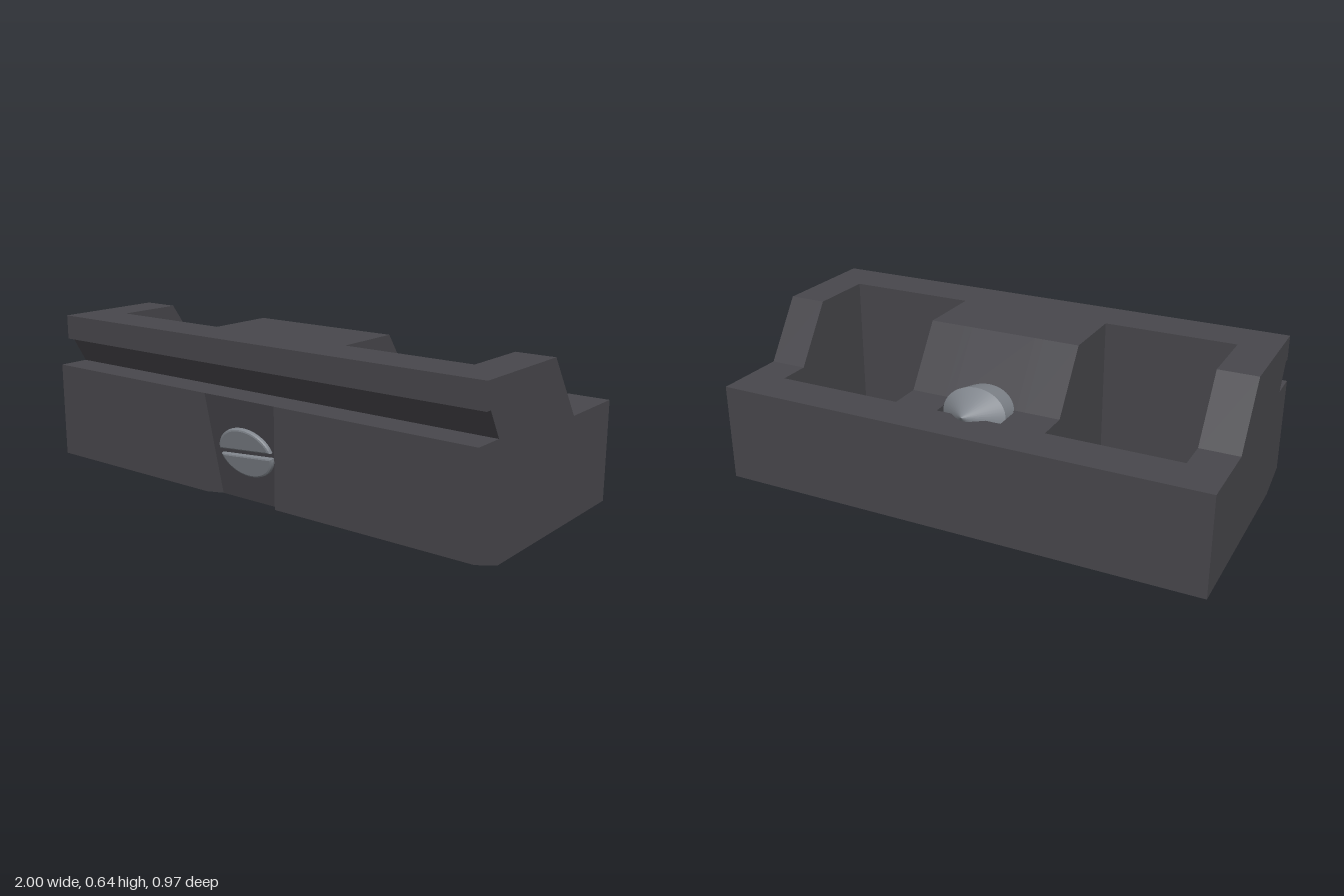
import * as THREE from 'three';

// Profiles are [z, y] points, counter-clockwise
const front = [[0.485, 0.05]];
const rail = [[0.485, 0.435], [0.36, 0.435], [0.42, 0.54], [0.445, 0.54], [0.445, 0.638]];
const ramp = [[-0.015, 0.638], [-0.18, 0.4]];
const rear = [[-0.485, 0.4], [-0.485, 0], [0.335, 0]];
const pocketFloor = [[0.26, 0.638], [0.26, 0.05], [-0.31, 0.05], [-0.31, 0.4]];
const notch = [[-0.19, 0.4], [-0.235, 0.2], [-0.31, 0.4]];
const recessFoot = [[0.395, 0.02]];

const full = [...front, ...rail, ...ramp, ...rear];
const pocketed = [...front, ...rail, ...pocketFloor, ...rear];
const recessed = [...recessFoot, ...rail, ...ramp, ...rear];
const notched = [...recessFoot, ...rail, ...ramp, ...notch, ...rear];

// Cut-out side walls
const pocketWall = [[0.26, 0.05], [0.26, 0.638], ...ramp, [-0.31, 0.4], [-0.31, 0.05]];
const recessWall = [[0.485, 0.05], [0.485, 0.435], [0.395, 0.02]];
const notchWall = [[-0.19, 0.4], [-0.31, 0.4], [-0.235, 0.2]];

function buildBody(material) {
  const pos = [];
  const put = (x, p) => pos.push(x, p[1], p[0]);

  // Sides of a prism running from x0 to x1
  const skin = (profile, x0, x1) => profile.forEach((p, i) => {
    const q = profile[(i + 1) % profile.length];
    put(x0, p); put(x1, p); put(x1, q);
    put(x0, p); put(x1, q); put(x0, q);
  });
  // Flat wall at x, facing +x or -x
  const wall = (profile, x, dir) => {
    const pts = profile.map(p => new THREE.Vector2(p[0], p[1]));
    for (const [a, b, c] of THREE.ShapeUtils.triangulateShape(pts, [])) {
      for (const i of dir < 0 ? [a, b, c] : [a, c, b]) put(x, profile[i]);
    }
  };

  const sections = [
    [full, -1, -0.845], [pocketed, -0.845, -0.315], [full, -0.315, -0.17],
    [recessed, -0.17, -0.135], [notched, -0.135, 0.135], [recessed, 0.135, 0.17],
    [full, 0.17, 0.315], [pocketed, 0.315, 0.845], [full, 0.845, 1],
  ];
  sections.forEach(s => skin(...s));
  const cuts = [
    [pocketWall, -0.845, -0.315], [pocketWall, 0.315, 0.845],
    [recessWall, -0.17, 0.17], [notchWall, -0.135, 0.135],
  ];
  for (const [profile, x0, x1] of cuts) {
    wall(profile, x0, 1);
    wall(profile, x1, -1);
  }
  wall(full, -1, -1);
  wall(full, 1, 1);

  const geo = new THREE.BufferGeometry();
  geo.setAttribute('position', new THREE.Float32BufferAttribute(pos, 3));
  geo.computeVertexNormals();
  const mesh = new THREE.Mesh(geo, material);
  mesh.name = 'clampBody';
  return mesh;
}

function buildScrew(material) {
  const screw = new THREE.Group();
  screw.name = 'screw';
  const add = (geo, name, z) => {
    const mesh = new THREE.Mesh(geo, material);
    mesh.name = name;
    mesh.position.z = z;
    screw.add(mesh);
    return mesh;
  };
  const R = 0.132;

  // Shank and pointed tip, running backwards from the head
  add(new THREE.CylinderGeometry(R, R, 0.72, 40).rotateX(Math.PI / 2), 'shank', -0.355);
  add(new THREE.ConeGeometry(R, 0.105, 40, 1, true).rotateX(-Math.PI / 2), 'tip', -0.7675);

  // Slotted head: two bevelled half discs with a gap between
  const r = R - 0.012, gap = 0.022, a = Math.asin(gap / r);
  const half = new THREE.Shape();
  half.absarc(0, 0, r, a, Math.PI - a, false);
  half.closePath();
  const geo = new THREE.ExtrudeGeometry(half, {
    depth: 0.008, curveSegments: 24,
    bevelThickness: 0.008, bevelSize: 0.01, bevelSegments: 2,
  });
  for (const turn of [0, Math.PI]) {
    add(geo, 'headHalf', 0.008).rotation.z = turn + 0.12;
  }

  // Oval section, tilted down toward the front
  screw.scale.y = 0.76;
  screw.rotation.x = 0.235;
  screw.position.set(0, 0.228, 0.432);
  return screw;
}

export function createModel() {
  const darkPlastic = new THREE.MeshStandardMaterial({ color: 0x48474c });
  darkPlastic.name = 'dark grey';
  const steel = new THREE.MeshStandardMaterial({ color: 0x80858c });
  steel.name = 'steel grey';

  const model = new THREE.Group();
  model.name = 'railClamp';
  model.add(buildBody(darkPlastic), buildScrew(steel));
  return model;
}
